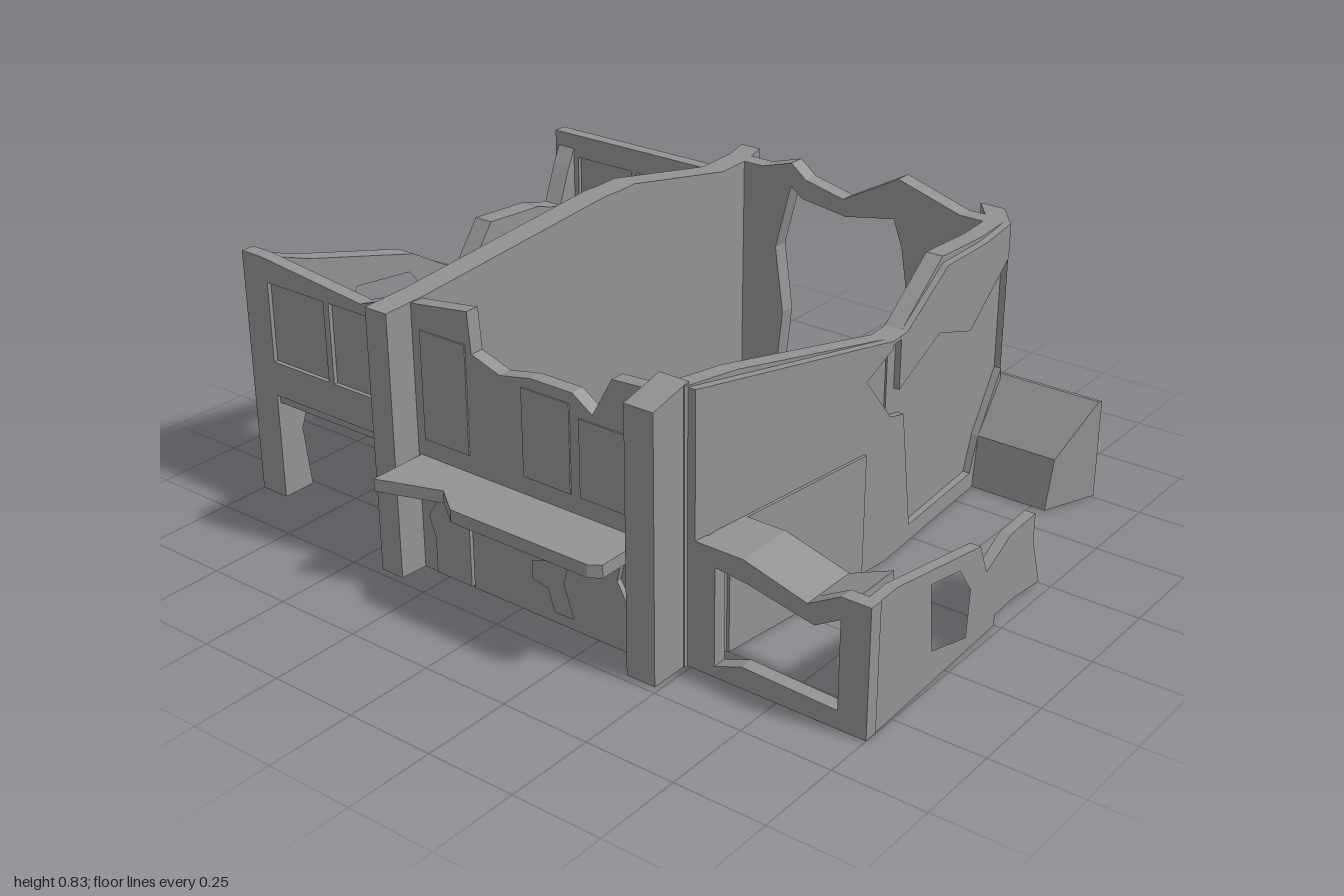
import * as THREE from 'three';

const stone = new THREE.MeshStandardMaterial({ color: 0x929292 });
stone.name = 'grey stone';

function makeShape(pts, holes = []) {
  const shape = new THREE.Shape(pts.map(p => new THREE.Vector2(p[0], p[1])));
  for (const h of holes) shape.holes.push(new THREE.Path(h.map(p => new THREE.Vector2(p[0], p[1]))));
  return shape;
}

export function createModel() {
  const model = new THREE.Group();
  model.name = 'ruinedBuilding';

  const add = (name, geo) => {
    geo.computeVertexNormals();
    const mesh = new THREE.Mesh(geo, stone);
    mesh.name = name;
    model.add(mesh);
  };
  const extrude = (pts, holes, depth) =>
    new THREE.ExtrudeGeometry(makeShape(pts, holes), { depth, bevelEnabled: false });

  // Outline in x,y, between z0 and z1
  const cross = (name, pts, z0, z1, holes) =>
    add(name, extrude(pts, holes, z1 - z0).translate(0, 0, z0));

  // Outline in z,y, with its low-x face running from xa at za to xb at zb
  const side = (name, pts, [za, xa], [zb, xb], thick, holes = []) => {
    const flip = list => list.map(([z, y]) => [-z, y]);
    const geo = extrude(flip(pts), holes.map(flip), thick).rotateY(Math.PI / 2);
    const p = geo.attributes.position;
    for (let i = 0; i < p.count; i++)
      p.setX(i, p.getX(i) + xa + (xb - xa) * (p.getZ(i) - za) / (zb - za));
    add(name, geo);
  };

  // Outline in x,z, between y0 and y1
  const flat = (name, pts, y0, y1) =>
    add(name, extrude(pts.map(([x, z]) => [x, -z]), [], y1 - y0).rotateX(-Math.PI / 2).translate(0, y0, 0));

  const rect = (a, b, c, d) => [[a, c], [b, c], [b, d], [a, d]];

  // Main left wall, bent inward at the middle
  side('leftWallFront', [[0.73, 0], [0.73, 0.74], [0.6, 0.75], [-0.05, 0.83], [-0.1, 0.83], [-0.1, 0]],
    [0.72, -0.415], [-0.1, -0.36], 0.072);
  side('leftWallBack', [[-0.1, 0], [-0.1, 0.83], [-0.17, 0.83], [-0.6, 0.74], [-0.74, 0.74], [-0.74, 0]],
    [-0.1, -0.36], [-0.74, -0.39], 0.072);
  side('leftWallBackEnd', rect(-0.74, -0.83, 0, 0.74), [-0.74, -0.39], [-0.83, -0.415], 0.068);

  // Main right wall with end piers
  side('rightWallFrontPier', [[0.73, 0], [0.73, 0.72], [0.6, 0.75], [0.6, 0]], [1, 0.4], [0, 0.4], 0.085);
  side('rightWallFront', [[0.62, 0], [0.62, 0.745], [0.45, 0.73], [-0.1, 0.63], [-0.1, 0]],
    [0.61, 0.445], [-0.1, 0.525], 0.045);
  side('rightWallBack', [[-0.1, 0], [-0.1, 0.63], [-0.17, 0.63], [-0.38, 0.76], [-0.6, 0.74], [-0.74, 0.74], [-0.74, 0]],
    [-0.1, 0.525], [-0.74, 0.48], 0.05);
  side('rightWallBackEnd', rect(-0.74, -0.83, 0, 0.74), [-0.74, 0.475], [-0.83, 0.405], 0.075);
  // Outer facing with a broken-away area
  side('rightFacingFront', [[0.61, 0], [0.61, 0.74], [-0.1, 0.63], [-0.1, 0.61], [0, 0.55], [-0.1, 0.42], [-0.1, 0]],
    [0.61, 0.488], [-0.1, 0.568], 0.024);
  side('rightFacingUpper', [[-0.1, 0.62], [-0.14, 0.62], [-0.14, 0.48], [-0.35, 0.56], [-0.53, 0.5], [-0.74, 0.64],
    [-0.74, 0.74], [-0.6, 0.73], [-0.38, 0.74], [-0.17, 0.63], [-0.1, 0.63]], [-0.1, 0.568], [-0.74, 0.528], 0.024);
  side('rightFacingLower', [[-0.1, 0], [-0.1, 0.42], [-0.17, 0.4], [-0.23, 0.05], [-0.58, 0.05], [-0.62, 0.15],
    [-0.74, 0.31], [-0.74, 0]], [-0.1, 0.568], [-0.74, 0.528], 0.024);

  // Front wall with broken top and shallow panels
  cross('frontWall', [[-0.37, 0], [-0.37, 0.74], [-0.15, 0.77], [-0.14, 0.66], [-0.05, 0.63], [0.05, 0.65],
    [0.18, 0.65], [0.24, 0.61], [0.3, 0.72], [0.45, 0.73], [0.45, 0]], 0.61, 0.65);
  for (const [x0, x1, top] of [[-0.31, -0.16, 0.68], [0.02, 0.17, 0.62], [0.2, 0.37, 0.59]])
    cross('frontWallPanel', rect(x0, x1, 0.38, top), 0.65, 0.654);
  // Chipped plaster plates beneath the ledge
  cross('frontPlaster', [[-0.28, 0.01], [-0.28, 0.11], [-0.3, 0.17], [-0.27, 0.22], [-0.28, 0.28], [-0.16, 0.28], [-0.16, 0.01]], 0.65, 0.665);
  cross('frontPlaster', [[-0.15, 0.01], [-0.15, 0.28], [0.34, 0.28], [0.32, 0.2], [0.36, 0.13], [0.35, 0.01]], 0.65, 0.665,
    [[[0.05, 0.16], [0.11, 0.18], [0.11, 0.24], [0.18, 0.24], [0.15, 0.13], [0.18, 0.04], [0.12, 0.04], [0.1, 0.1], [0.05, 0.11]]]);
  // Broken ledge
  flat('frontLedge', [[-0.33, 0.65], [-0.33, 0.82], [-0.15, 0.76], [-0.07, 0.82], [0.36, 0.82], [0.39, 0.8], [0.39, 0.65]], 0.295, 0.33);

  // Back wall with a tall ragged opening
  cross('backWall', [[-0.37, 0], [-0.37, 0.74], [-0.25, 0.74], [-0.15, 0.77], [-0.1, 0.73], [0.03, 0.7], [0.21, 0.8],
    [0.41, 0.74], [0.5, 0.74], [0.5, 0], [0.24, 0], [0.21, 0.2], [0.26, 0.42], [0.23, 0.6], [0.2, 0.68],
    [0.04, 0.65], [-0.11, 0.67], [-0.15, 0.7], [-0.2, 0.5], [-0.17, 0.3], [-0.2, 0]], -0.76, -0.71);

  // Raised left wing: end walls with two sunken windows each
  for (const [name, z, s] of [['wingFrontWall', 0.57, 1], ['wingBackWall', -0.7, -1]]) {
    const top = s > 0 ? [[-0.38, 0.71], [-0.45, 0.71], [-0.56, 0.67], [-0.93, 0.71], [-1, 0.71]]
      : [[-0.38, 0.71], [-1, 0.71]];
    cross(name, [[-1, 0.31], [-0.38, 0.31], ...top], z, z + 0.04,
      [rect(-0.91, -0.7, 0.41, 0.64), rect(-0.68, -0.47, 0.41, 0.64)]);
    for (const x of [-0.915, -0.685]) cross('wingWindow', rect(x, x + 0.22, 0.405, 0.645), z + 0.012, z + 0.028);
  }
  // Broken outer wall, bent inward at the middle
  side('wingOuterWallFront', [[0.61, 0.31], [0.61, 0.71], [0.45, 0.655], [0.1, 0.57], [0, 0.51], [-0.1, 0.46], [-0.1, 0.31]],
    [0.61, -1], [-0.1, -0.91], 0.06, [[[0.36, 0.42], [0.3, 0.53], [0.12, 0.52], [0.02, 0.4], [0.3, 0.38]]]);
  side('wingOuterWallMiddle', [[-0.1, 0.31], [-0.1, 0.46], [-0.2, 0.58], [-0.42, 0.56], [-0.48, 0.54], [-0.48, 0.31]],
    [-0.1, -0.91], [-0.48, -0.93], 0.06);
  side('wingOuterWallBack', [[-0.48, 0.31], [-0.48, 0.54], [-0.55, 0.52], [-0.62, 0.62], [-0.7, 0.71], [-0.7, 0.31]],
    [-0.48, -0.93], [-0.7, -1], 0.06);
  // Floor remains around the collapsed middle
  flat('wingFloorBack', [[-0.98, -0.69], [-0.39, -0.69], [-0.4, -0.52], [-0.63, -0.4], [-0.87, -0.51], [-0.95, -0.6]], 0.285, 0.325);
  flat('wingFloorFront', [[-0.87, 0.09], [-0.63, 0.12], [-0.37, 0.06], [-0.39, 0.6], [-0.98, 0.6], [-0.92, 0.1]], 0.285, 0.325);
  flat('wingFloorFragment', [[-0.35, -0.24], [-0.42, -0.22], [-0.48, -0.05], [-0.45, 0.08], [-0.35, 0.08]], 0.29, 0.33);
  // Chipped corner legs
  for (const [z, s] of [[0.61, -1], [-0.7, 1]])
    side('wingLeg', [[z, 0], [z, 0.31], [z + s * 0.13, 0.31], [z + s * 0.08, 0.18], [z + s * 0.1, 0]],
      [-1, -1], [1, -1], 0.09);
  side('wingInnerPier', [[0.6, 0], [0.6, 0.3], [0.5, 0.3], [0.53, 0.16], [0.5, 0]], [-1, -0.48], [1, -0.48], 0.09);

  // Low right annex: front wall, sill, roof strip and side wall
  cross('annexFrontWall', [[0.47, 0], [0.47, 0.35], [0.65, 0.35], [0.83, 0.3], [0.92, 0.35], [1, 0.35], [1, 0],
    [0.92, 0], [0.92, 0.29], [0.85, 0.25], [0.66, 0.29], [0.57, 0.3], [0.57, 0]], 0.57, 0.61);
  cross('annexSill', [[0.57, 0], [0.57, 0.03], [0.65, 0.06], [0.92, 0.05], [0.92, 0]], 0.57, 0.61);
  cross('annexRoofStrip', [[0.52, 0.31], [0.52, 0.35], [0.65, 0.35], [0.83, 0.3], [0.95, 0.35], [0.95, 0.31], [0.83, 0.27], [0.65, 0.31]], 0.44, 0.57);
  side('annexSideWall', [[0.61, 0], [0.61, 0.35], [0.5, 0.35], [0.1, 0.27], [0.06, 0.18], [-0.06, 0.23], [-0.19, 0.23],
    [-0.19, 0.15], [-0.24, 0.01], [-0.1, 0.03], [0, 0.03], [0, 0]], [0.61, 0.97], [-0.25, 0.94], 0.03,
    [[[0.34, 0.28], [0.2, 0.25], [0.14, 0.17], [0.15, 0.04], [0.32, 0.09]]]);
  // Thin panel on the main wall inside the annex
  side('annexInnerPanel', rect(0.5, 0, 0, 0.35), [0.61, 0.512], [-0.1, 0.592], 0.008);

  // Fallen back wall of the annex, leaning on its own rubble
  side('annexBackWedge', [[-0.6, 0], [-0.62, 0.15], [-0.75, 0.29], [-0.76, 0.29], [-0.76, 0]], [-0.76, 0.535], [-0.6, 0.47], 0.32);

  return model;
}
